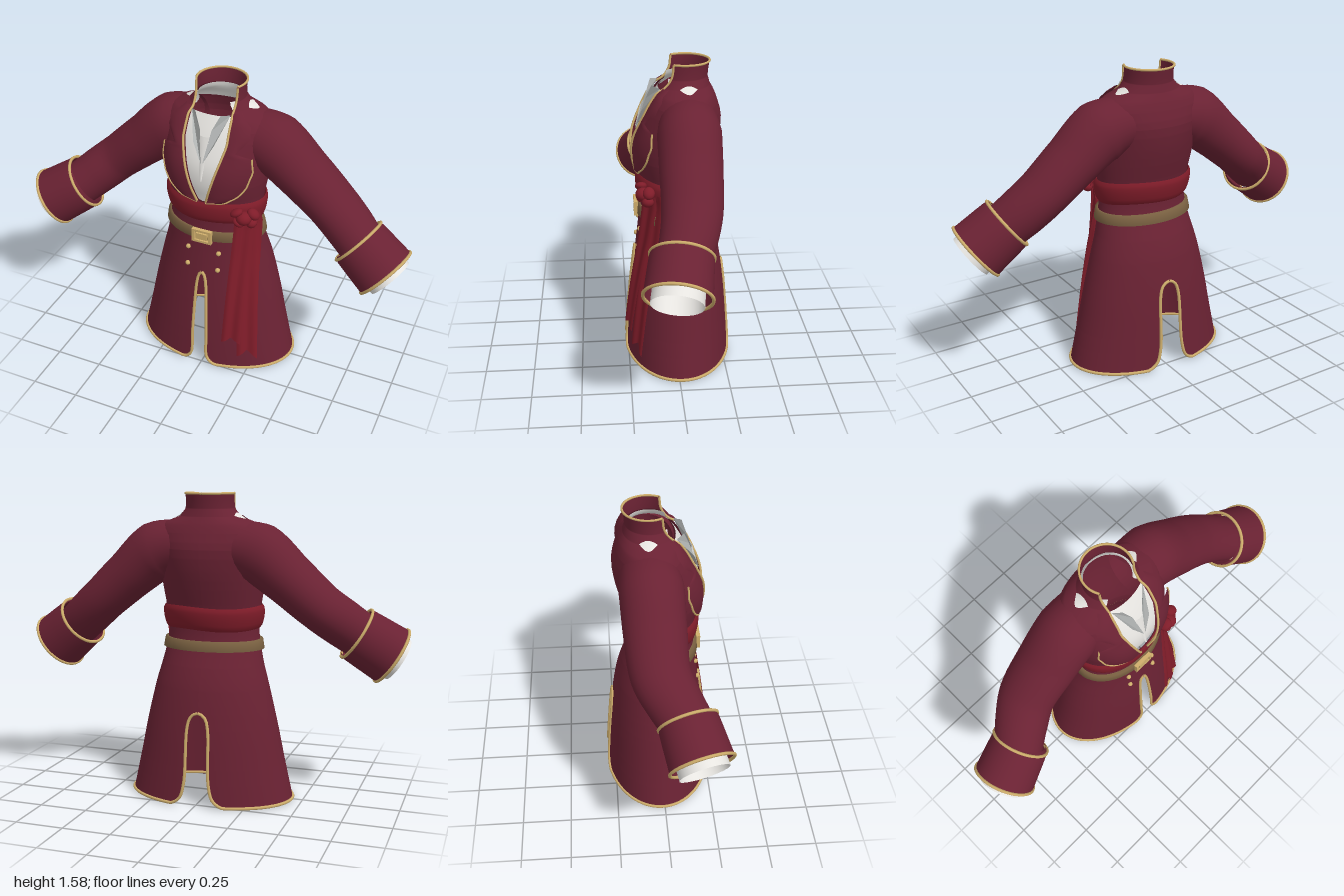
import * as THREE from 'three';
import { mergeVertices } from 'three/addons/utils/BufferGeometryUtils.js';

const flat = (color, name) => {
  const m = new THREE.MeshStandardMaterial({ color, side: THREE.DoubleSide });
  m.name = name;
  return m;
};
const V = (x, y, z) => new THREE.Vector3(x, y, z);
const CX = -0.012;

// Coat cross-sections: height, half width, front z, back z
const BODY = [
  [0, .435, .26, -.29], [.2, .39, .245, -.277], [.4, .348, .225, -.26], [.6, .3, .2, -.23],
  [.7, .272, .188, -.2], [.8, .25, .178, -.16], [.9, .238, .172, -.15], [1.0, .25, .18, -.17],
  [1.1, .265, .202, -.2], [1.2, .275, .2, -.225], [1.3, .288, .165, -.235], [1.38, .285, .125, -.215],
  [1.43, .235, .095, -.195], [1.46, .155, .08, -.178], [1.5, .125, .07, -.168], [1.575, .123, .065, -.178],
];
// Half widths of the front opening (skirt slit, then neckline) and of the back slit
const FRONT = [
  [0, .1], [.015, .075], [.05, .046], [.2, .04], [.4, .032], [.53, .023], [.57, .013], [.585, 0],
  [1.01, 0], [1.02, .022], [1.15, .06], [1.25, .088], [1.33, .108], [1.4, .106], [1.46, .102], [1.575, .106],
];
const BACK = [[0, .14], [.04, .09], [.12, .066], [.4, .055], [.455, .042], [.475, .025], [.485, 0]];
const LAPEL = [
  [1.015, .02], [1.03, .11], [1.07, .165], [1.12, .2], [1.2, .222], [1.27, .215], [1.3, .15],
  [1.36, .2], [1.41, .19], [1.46, .13],
];

function lerpTable(t, y, k = 1) {
  if (y <= t[0][0]) return t[0][k];
  for (let i = 1; i < t.length; i++) {
    if (y <= t[i][0]) return THREE.MathUtils.mapLinear(y, t[i - 1][0], t[i][0], t[i - 1][k], t[i][k]);
  }
  return t[t.length - 1][k];
}
function smoothTable(t, y, k) {
  let i = 0;
  while (i < t.length - 2 && y > t[i + 1][0]) i++;
  const slope = (a, b) => (t[b][k] - t[a][k]) / (t[b][0] - t[a][0]);
  const h = t[i + 1][0] - t[i][0], u = (y - t[i][0]) / h;
  const m0 = slope(Math.max(i - 1, 0), i + 1) * h, m1 = slope(i, Math.min(i + 2, t.length - 1)) * h;
  const u2 = u * u, u3 = u2 * u;
  return (2 * u3 - 3 * u2 + 1) * t[i][k] + (u3 - 2 * u2 + u) * m0 + (3 * u2 - 2 * u3) * t[i + 1][k] + (u3 - u2) * m1;
}
// Point on the coat: angle 0 is the front, +90 degrees the model's left
function onBody(y, a, off = 0) {
  const [rx, zf, zb] = [1, 2, 3].map((k) => smoothTable(BODY, y, k));
  return V(CX + (rx + off) * Math.sin(a), y, (zf + zb) / 2 + ((zf - zb) / 2 + off) * Math.cos(a));
}
const angleAt = (y, x) => Math.asin(THREE.MathUtils.clamp(x / smoothTable(BODY, y, 1), -1, 1));

// Surface from a function of u and v in 0..1
function grid(nu, nv, fn) {
  const pos = [], index = [];
  for (let i = 0; i <= nu; i++) for (let j = 0; j <= nv; j++) pos.push(...fn(i / nu, j / nv).toArray());
  for (let i = 0; i < nu; i++) for (let j = 0; j < nv; j++) {
    const a = i * (nv + 1) + j, b = a + nv + 1;
    index.push(a, a + 1, b, b, a + 1, b + 1);
  }
  const g = new THREE.BufferGeometry();
  g.setAttribute('position', new THREE.Float32BufferAttribute(pos, 3));
  g.setIndex(index);
  const merged = mergeVertices(g, 1e-5);
  merged.computeVertexNormals();
  return merged;
}
const cord = (pts, r = .007, closed = false) =>
  new THREE.TubeGeometry(new THREE.CatmullRomCurve3(pts, closed), pts.length * 2, r, 6, closed);
const steps = (n, fn) => Array.from({ length: n + 1 }, (_, i) => fn(i / n));
const mix = THREE.MathUtils.lerp;

// Tube with elliptical sections; stations are x, y, z, radius in the front plane, radius in depth
function sweep(st) {
  const curve = new THREE.CatmullRomCurve3(st.map((s) => V(s[0], s[1], s[2])));
  const radii = st.map((s, i) => [i / (st.length - 1), s[3], s[4]]);
  return (t, turn) => {
    const tan = curve.getTangent(t);
    const n2 = V(0, 0, 1).addScaledVector(tan, -tan.z).normalize();
    const n1 = tan.cross(n2);
    const a = (turn % 1) * Math.PI * 2;
    return curve.getPoint(t).addScaledVector(n1, lerpTable(radii, t, 1) * Math.cos(a))
      .addScaledVector(n2, lerpTable(radii, t, 2) * Math.sin(a));
  };
}

export function createModel() {
  const coat = flat(0x6a2233, 'coat burgundy'), red = flat(0x7f1c29, 'sash red'), gold = flat(0xcfae6c, 'gold trim');
  const leather = flat(0x7b6242, 'belt leather'), white = flat(0xe6e4e0, 'shirt white'), grey = flat(0xb4b7b6, 'cravat grey');
  const model = new THREE.Group();
  const add = (name, geo, mat, x = 0, y = 0, z = 0) => {
    const m = new THREE.Mesh(geo, mat);
    m.name = name;
    m.position.set(x, y, z);
    model.add(m);
    return m;
  };

  // Heights of the coat rows, denser where the openings turn
  const rows = [...new Set([...BODY, ...FRONT, ...BACK].map((r) => r[0])
    .concat(steps(40, (t) => +(t * 1.575).toFixed(3))))].sort((a, b) => a - b);
  const n = rows.length - 1;

  for (const s of [1, -1]) {
    const side = s > 0 ? 'left' : 'right';
    const front = (y) => s * angleAt(y, lerpTable(FRONT, y));
    const back = (y) => s * (Math.PI - angleAt(y, lerpTable(BACK, y)));

    // Coat half, hem and slit trim, neckline and collar trim
    add(side + 'CoatHalf', grid(n, 36, (u, v) => {
      const y = rows[Math.round(u * n)];
      return onBody(y, mix(front(y), back(y), v));
    }), coat);
    const frontYs = FRONT.slice(0, 8).map((r) => r[0]).reverse();
    add(side + 'SkirtTrim', cord([
      ...frontYs.map((y) => onBody(Math.max(y, .008), front(y), .003)),
      ...steps(30, (t) => onBody(.008, mix(front(0), back(0), .02 + t * .96), .002)),
      ...BACK.map((r) => onBody(Math.max(r[0], .008), back(r[0]), .003)),
    ], .008), gold);
    add(side + 'NecklineTrim', cord(steps(24, (t) => {
      const y = mix(1.02, 1.57, t);
      return onBody(y, front(y), y < 1.45 ? .016 : .002);
    }), .006), gold);
    add(side + 'CollarRim', cord(steps(16, (t) => onBody(1.572, mix(front(1.575), s * Math.PI, t))), .006), gold);

    // Notched lapel with a trimmed outer edge
    const lapelYs = [...LAPEL.map((r) => r[0]), 1.05, 1.16, 1.235, 1.285, 1.33, 1.385, 1.435].sort((a, b) => a - b);
    const lapel = (y, v) => onBody(y, s * angleAt(y, mix(lerpTable(FRONT, y), lerpTable(LAPEL, y), v)),
      .012 + .012 * Math.sin(v * Math.PI * .8));
    add(side + 'Lapel', grid(lapelYs.length - 1, 8,
      (u, v) => lapel(lapelYs[Math.round(u * (lapelYs.length - 1))], v)), coat);
    add(side + 'LapelTrim', cord(lapelYs.filter((y) => y < 1.28).map((y) => lapel(y, 1)), .005), gold);

    // Small white tab on the shoulder
    add(side + 'ShoulderTab', grid(2, 6, (u, v) => onBody(
      1.463 + (u - .5) * .03 * Math.sin(Math.PI * v), s * mix(1.35, 2.0, v), .008)), white);

    // Cravat wing
    const wing = [[.1, 1.455, .075], [.065, 1.465, .112], [.03, 1.39, .14], [.004, 1.23, .195], [.055, 1.33, .165]];
    const wg = new THREE.BufferGeometry().setFromPoints(
      [1, 2, 3].flatMap((i) => [wing[0], wing[i], wing[i + 1]].map((p) => V(CX + s * p[0], p[1], p[2]))));
    wg.computeVertexNormals();
    add(side + 'CravatWing', wg, grey);
  }

  // Shirt front and standing shirt collar
  add('shirtFront', grid(16, 10, (u, v) => {
    const y = mix(1.0, 1.44, u);
    return onBody(y, angleAt(y, (v * 2 - 1) * (lerpTable(FRONT, y) + .03)), -.012);
  }), white);
  add('shirtCollar', grid(6, 30, (u, v) => onBody(mix(1.4, 1.5, u), mix(.75, Math.PI * 2 - .75, v), -.01)), white);
  add('cravatFold', grid(4, 2, (u, v) =>
    V(CX + (v - .5) * mix(.01, .05, u), mix(1.14, 1.36, u), mix(.206, .152, u) + (v === .5 ? .006 : 0))), white);

  // Waist sash with a soft bulge
  add('sash', grid(8, 48, (u, v) => {
    const a = (v % 1) * Math.PI * 2;
    return onBody(mix(.888, 1.008, u) + .005 * Math.sin(a * 3), a, .006 + .018 * Math.sin(Math.PI * u) ** .5);
  }), red);

  // Sash tails hang over the skirt and end in swallow tails
  const tail = (name, top, left, right, lowL, lowM, lowR, off) => add(name, grid(24, 12, (u, v) => {
    const low = v < .5 ? mix(lowL, lowM, v * 2) : mix(lowM, lowR, v * 2 - 1);
    const y = mix(top, low, u);
    const x = mix(mix(left[0], left[1], u), mix(right[0], right[1], u), v);
    return onBody(y, angleAt(y, x - CX), off + .007 * Math.sin(v * 9));
  }), red);
  tail('longSashTail', .95, [.15, .19], [.22, .285], .1, .135, .08, .022);
  tail('shortSashTail', .95, [.13, .112], [.2, .2], .2, .225, .19, .036);

  // Sash knot
  [[.2, .955, .165, .04, .035, .04, 0], [.165, .985, .175, .035, .02, .03, .5], [.24, .975, .14, .035, .025, .03, -.6],
    [.235, .925, .145, .028, .025, .03, .5], [.175, .93, .175, .03, .02, .025, -.5]].forEach(([x, y, z, a, b, c, r]) => {
    const m = add('sashKnot', new THREE.IcosahedronGeometry(1, 2), red, x, y, z);
    m.scale.set(a, b, c);
    m.rotation.z = r;
  });

  // Belt with closed edges
  const beltSection = [[.785, 0], [.785, .016], [.835, .016], [.835, 0]];
  add('belt', grid(3, 48, (u, v) => {
    const [y, off] = beltSection[Math.round(u * 3)];
    return onBody(y, (v % 1) * Math.PI * 2, off);
  }), leather);

  // Buckle frame and bars
  const bar = (name, x, y, w, h) => add(name, new THREE.BoxGeometry(w, h, .02), gold, CX + x, .808 + y, .197);
  for (const s of [1, -1]) {
    bar('buckleSide', s * .046, 0, .014, .074);
    bar('buckleRail', 0, s * .031, .09, .012);
  }
  bar('bucklePlate', 0, 0, .06, .034);

  // Coat buttons
  for (const y of [.71, .612]) for (const s of [1, -1]) {
    const p = onBody(y, angleAt(y, s * .083), .004);
    add('button', new THREE.SphereGeometry(.013, 10, 8), gold, p.x, p.y, p.z);
  }

  // Sleeves, turned-back cuffs and shirt cuffs
  const arms = {
    left: {
      sleeve: [[.14, 1.31, -.06, .13, .14], [.27, 1.275, -.055, .155, .155], [.42, 1.157, -.05, .133, .15],
        [.58, 1.02, -.04, .12, .142], [.68, .935, -.015, .12, .132], [.78, .85, .025, .115, .12]],
      cuff: [[.745, .88, .02, .14, .145], [.9, .757, .05, .156, .155]],
    },
    right: {
      sleeve: [[-.14, 1.31, -.06, .13, .14], [-.27, 1.275, -.055, .155, .155], [-.42, 1.157, -.05, .133, .15],
        [-.58, 1.02, -.035, .12, .142], [-.68, .938, .02, .12, .132], [-.78, .855, .09, .115, .12]],
      cuff: [[-.745, .878, .075, .14, .14], [-.915, .767, .125, .153, .153]],
    },
  };
  for (const [side, arm] of Object.entries(arms)) {
    const sleeve = sweep(arm.sleeve), cuff = sweep(arm.cuff);
    add(side + 'Sleeve', grid(30, 28, sleeve), coat);
    add(side + 'Cuff', grid(4, 32, cuff), coat);
    add(side + 'CuffUnderside', grid(1, 32, (u, v) => cuff(0, v).lerp(sleeve(.93, v), u * .5)), coat);
    for (const t of [0, 1]) add(side + 'CuffTrim', cord(steps(31, (a) => cuff(t, a * 31 / 32)), .008, true), gold);
    const [p, q] = arm.cuff;
    const along = (t) => [0, 1, 2].map((k) => mix(p[k], q[k], t));
    const shirtCuff = sweep([[...along(.2), .11, .115], [...along(1.18), .115, .12]]);
    add(side + 'ShirtCuff', grid(4, 28, shirtCuff), white);
  }
  return model;
}
